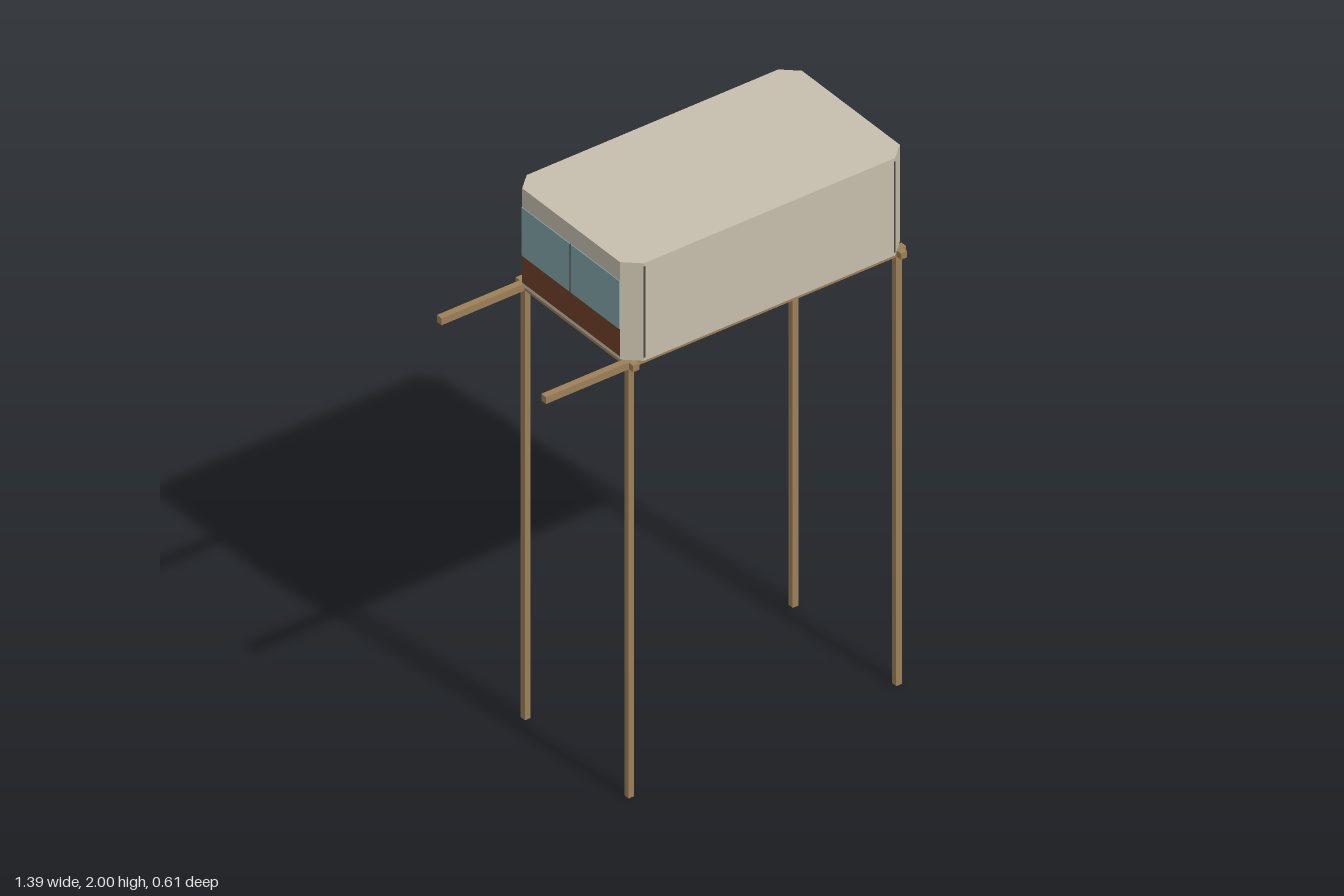
import * as THREE from 'three';

const mat = (name, color) => {
  const m = new THREE.MeshStandardMaterial({ color });
  m.name = name;
  return m;
};

export function createModel() {
  const group = new THREE.Group();
  const beige = mat('beige panel', 0xc6beac);
  const wood = mat('wood', 0x9c8058);
  const glass = mat('blue glass', 0x7fa3a8);
  const brown = mat('red brown', 0x70402a);
  const dark = mat('dark trim', 0x4a463f);

  const add = (name, geo, material) => {
    const mesh = new THREE.Mesh(geo, material);
    mesh.name = name;
    group.add(mesh);
    return mesh;
  };
  // Box given by its lower and upper corners
  const box = (name, material, x0, x1, y0, y1, z0, z1) => {
    const mesh = add(name, new THREE.BoxGeometry(x1 - x0, y1 - y0, z1 - z0), material);
    mesh.position.set((x0 + x1) / 2, (y0 + y1) / 2, (z0 + z1) / 2);
    return mesh;
  };
  // Upright prism over a plan outline of [x, z] points
  const prism = (name, material, pts, y0, y1) => {
    const shape = new THREE.Shape(pts.map(([x, z]) => new THREE.Vector2(x, -z)));
    const geo = new THREE.ExtrudeGeometry(shape, { depth: y1 - y0, bevelEnabled: false });
    geo.rotateX(-Math.PI / 2).translate(0, y0, 0);
    return add(name, geo, material);
  };

  const X0 = -0.39, X1 = 0.69, Z = 0.303, CX = 0.055, CZ = 0.05, T = 0.012;
  const Y0 = 1.635, Y1 = 2, yIn = Y0 + T, yTop = Y1 - T;

  // Posts and timber frame
  for (const x of [-0.365, 0.668]) {
    for (const z of [-0.268, 0.268]) {
      box('post', wood, x - 0.011, x + 0.011, 0, 1.632, z - 0.011, z + 0.011);
    }
    box('crossBeam', wood, x - 0.012, x + 0.012, 1.61, 1.634, -0.304, 0.304);
  }
  for (const z of [-0.27, 0.27]) {
    box('longBeam', wood, -0.697, 0.693, 1.609, 1.635, z - 0.012, z + 0.012);
  }

  // Floor and roof with clipped corners
  const plan = [
    [X0 + CX, Z], [X1 - CX, Z], [X1, Z - CZ], [X1, CZ - Z],
    [X1 - CX, -Z], [X0 + CX, -Z], [X0, CZ - Z], [X0, Z - CZ],
  ];
  prism('floor', beige, plan, Y0, yIn);
  prism('roof', beige, plan, yTop, Y1);

  // Long walls, corner panels and corner seams
  for (const s of [-1, 1]) {
    const zA = s * Z, zB = s * (Z - T);
    box('longWall', beige, X0 + CX, X1 - CX, yIn, yTop, Math.min(zA, zB), Math.max(zA, zB));
    for (const [x, d] of [[X0, 1], [X1, -1]]) {
      prism('cornerPanel', beige, [
        [x + d * CX, s * Z], [x, s * (Z - CZ)],
        [x + d * T, s * (Z - CZ)], [x + d * CX, s * (Z - T)],
      ], yIn, yTop);
      const sx = x + d * (CX + 0.002);
      box('cornerSeam', dark, sx - 0.003, sx + 0.003, yIn, yTop, s * Z - 0.001, s * Z + 0.001);
    }
  }

  // Doorway end wall
  const W = Z - CZ;
  const wall = new THREE.Shape([[-W, yIn], [W, yIn], [W, yTop], [-W, yTop]].map(p => new THREE.Vector2(...p)));
  wall.holes.push(new THREE.Path(
    [[-0.15, 1.652], [-0.15, 1.88], [0.15, 1.88], [0.15, 1.652]].map(p => new THREE.Vector2(...p))));
  const wallGeo = new THREE.ExtrudeGeometry(wall, { depth: T, bevelEnabled: false });
  wallGeo.rotateY(Math.PI / 2).translate(X1 - T, 0, 0);
  add('doorwayWall', wallGeo, beige);

  // Glazed end wall
  box('windowHeader', beige, X0, X0 + T, 1.93, yTop, -W, W);
  box('lowerPanel', brown, X0, X0 + T, yIn, 1.75, -W, W);
  for (const s of [-1, 1]) {
    const a = s * 0.002, b = s * W;
    box('windowPane', glass, X0 - 0.003, X0 + 0.005, 1.75, 1.93, Math.min(a, b), Math.max(a, b));
  }
  box('mullion', dark, X0 - 0.004, X0 + 0.006, 1.75, 1.93, -0.002, 0.002);

  // Interior partition and bench
  box('partition', beige, 0.42, 0.435, yIn, 1.865, -0.03, 0.16);
  box('bench', beige, 0.5, 0.64, yIn, 1.697, -0.148, -0.03);

  // Small equipment resting on the bench
  box('equipmentBody', brown, 0.53, 0.62, 1.712, 1.73, -0.085, -0.06);
  box('equipmentTop', brown, 0.57, 0.6, 1.73, 1.745, -0.1, -0.045);
  for (const z of [-0.095, -0.05]) {
    const leg = box('equipmentLeg', dark, 0.58, 0.588, 1.695, 1.73, z - 0.004, z + 0.004);
    leg.rotation.x = z < -0.07 ? 0.5 : -0.5;
  }

  return group;
}
